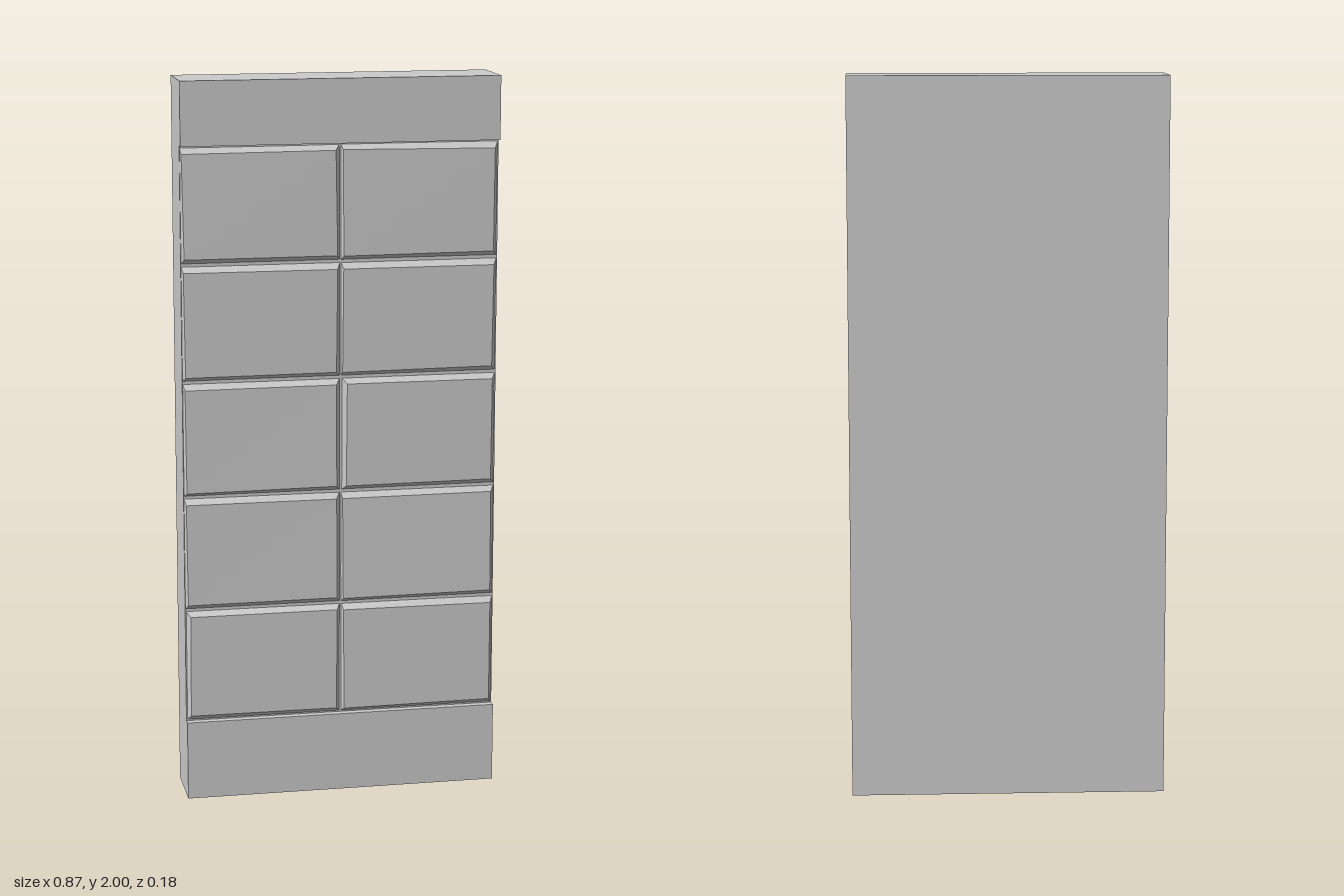
import * as THREE from 'three';

const W = 0.874, BACK = -0.088, FRONT = 0.088, GROOVE = 0.067, FACE = 0.079;
const LOW = 0.222, HIGH = 1.826, ROWS = 5;

export function createModel() {
  const group = new THREE.Group();
  group.name = 'tiledWallPanel';
  const material = new THREE.MeshStandardMaterial({ color: 0xcccccc, flatShading: true });

  const add = (name, geometry) => {
    const mesh = new THREE.Mesh(geometry, material);
    mesh.name = name;
    group.add(mesh);
  };

  // Slab with thicker bands at the foot and the head, as one side profile
  const profile = new THREE.Shape([
    [BACK, 0], [FRONT, 0], [FRONT, LOW], [GROOVE, LOW],
    [GROOVE, HIGH], [FRONT, HIGH], [FRONT, 2], [BACK, 2],
  ].map(([z, y]) => new THREE.Vector2(-z, y)));
  const slab = new THREE.ExtrudeGeometry(profile, { depth: W, bevelEnabled: false });
  slab.translate(0, 0, -W / 2).rotateY(Math.PI / 2);
  add('slab', slab);

  // Small repeatable variation for the hand-cut bevels
  let seed = 7;
  const vary = (amount) => {
    seed = (seed * 16807) % 2147483647;
    return (seed / 2147483647 - 0.5) * amount;
  };

  // Tile: a thin block whose front corners are drawn in to make the bevels
  const tileGeometry = (x0, x1, y0, y1, inset) => {
    const g = new THREE.BoxGeometry(1, 1, 1).toNonIndexed();
    const p = g.attributes.position;
    const jitter = [0, 1, 2, 3].map(() => [vary(0.005), vary(0.005), vary(0.002)]);
    for (let i = 0; i < p.count; i++) {
      const right = p.getX(i) > 0, top = p.getY(i) > 0, front = p.getZ(i) > 0;
      let x = right ? x1 : x0, y = top ? y1 : y0, z = GROOVE - 0.004;
      if (front) {
        const j = jitter[(right ? 1 : 0) + (top ? 2 : 0)];
        x += (right ? -inset.right : inset.left) + j[0];
        y += (top ? -inset.top : inset.bottom) + j[1];
        z = FACE + j[2];
      }
      p.setXYZ(i, x, y, z);
    }
    g.computeVertexNormals();
    return g;
  };

  // Two columns of tiles in five rows
  const step = (HIGH - LOW) / ROWS;
  for (let row = 0; row < ROWS; row++) {
    for (let col = 0; col < 2; col++) {
      const x0 = (col - 1) * W / 2, y0 = LOW + row * step;
      const wideLeft = (row === 0 && col === 0) || (row === 2 && col === 1);
      const inset = { left: wideLeft ? 0.015 : 0.006, right: 0.012, top: 0.02, bottom: 0.014 };
      add(`tile${row + 1}${col ? 'Left' : 'Right'}`,
        tileGeometry(x0, x0 + W / 2, y0, y0 + step, inset));
    }
  }
  return group;
}
